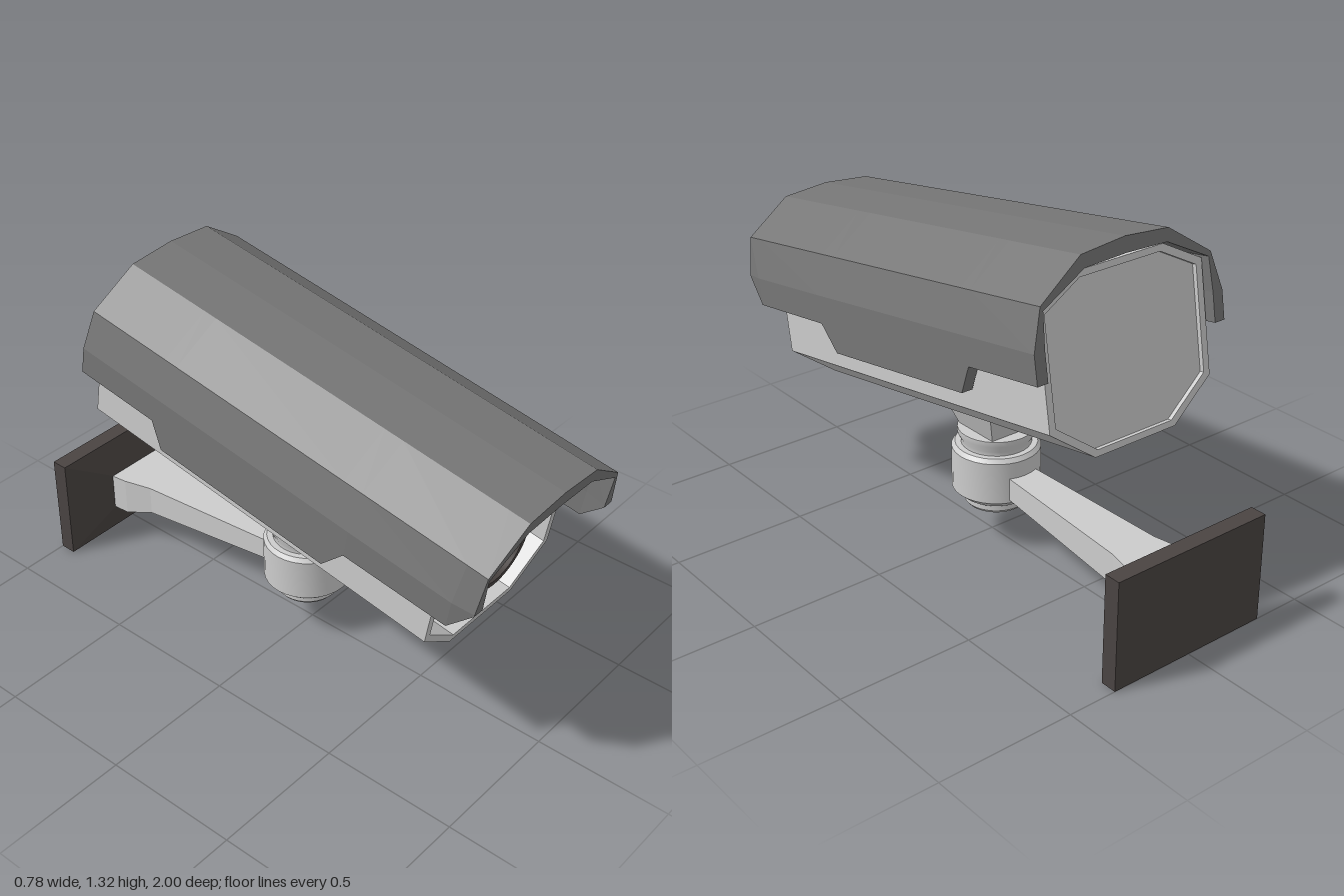
import * as THREE from 'three';
import { toCreasedNormals } from 'three/addons/utils/BufferGeometryUtils.js';

const material = (name, color) => {
  const m = new THREE.MeshStandardMaterial({ color });
  m.name = name;
  return m;
};

// Flat-faced loft through equal closed loops, ordered by rising z, anticlockwise seen from +z.
// Caps join point i to point n-1-i, so C-shaped sections work too.
function loft(sections) {
  const pos = [];
  const quad = (a, b, c, d) => pos.push(...a, ...b, ...c, ...a, ...c, ...d);
  const n = sections[0].length;
  for (let s = 0; s < sections.length - 1; s++) {
    const a = sections[s], b = sections[s + 1];
    for (let i = 0; i < n; i++) {
      const j = (i + 1) % n;
      quad(a[i], a[j], b[j], b[i]);
    }
  }
  const back = sections[0], front = sections[sections.length - 1];
  for (let i = 0; i < n / 2 - 1; i++) {
    quad(front[i], front[i + 1], front[n - 2 - i], front[n - 1 - i]);
    quad(back[n - 1 - i], back[n - 2 - i], back[i + 1], back[i]);
  }
  const g = new THREE.BufferGeometry();
  g.setAttribute('position', new THREE.Float32BufferAttribute(pos, 3));
  g.computeVertexNormals();
  return g;
}

// Rectangle of half width w between heights y0 and y1
const rect = (z, w, y0, y1) => [[-w, y0, z], [w, y0, z], [w, y1, z], [-w, y1, z]];

const turned = (points) => toCreasedNormals(
  new THREE.LatheGeometry(points.map(([r, y]) => new THREE.Vector2(r, y)), 32), 0.5);

// Half of an outline, mirrored to a full loop
const mirror = (half) => [...half, ...half.slice().reverse().map(([x, y]) => [-x, y])];

function extrude(outline, z0, z1, hole) {
  const points = (o) => o.map(([x, y]) => new THREE.Vector2(x, y));
  const shape = new THREE.Shape(points(outline));
  if (hole) shape.holes.push(new THREE.Path(points(hole)));
  return new THREE.ExtrudeGeometry(shape, { depth: z1 - z0, bevelEnabled: false }).translate(0, 0, z0);
}

// One C-shaped slice of the sunshield: b is the lower edge, w the half width
function hoodSection([z, b, w]) {
  const outer = [[w, b], [w, 0.137], [0.352, 0.274], [0.18, 0.39], [0, 0.405]];
  const inner = [[w - 0.042, b], [w - 0.042, 0.138], [0.342, 0.258], [0.17, 0.346], [0, 0.352]];
  const arch = (half) => [...half, ...half.slice(0, -1).reverse().map(([x, y]) => [-x, y])];
  return [...arch(outer), ...arch(inner).reverse()].map(([x, y]) => [x, y, z]);
}

export function createModel() {
  const shieldGrey = material('shield grey', 0x767676);
  const lightGrey = material('light grey', 0xcccccc);
  const darkBrown = material('dark brown', 0x4a4442);

  const model = new THREE.Group();
  model.name = 'securityCamera';
  const add = (parent, name, geometry, mat) => {
    const mesh = new THREE.Mesh(geometry, mat);
    mesh.name = name;
    parent.add(mesh);
    return mesh;
  };

  // Camera head, tilted nose down
  const head = new THREE.Group();
  head.name = 'head';
  head.position.y = 0.8;
  head.rotation.x = 0.1693;
  model.add(head);

  // Eight-sided casing with recessed ends
  const casing = mirror([[0.17, -0.266], [0.34, -0.14], [0.34, 0.25], [0.18, 0.335]]);
  const inset = casing.map(([x, y]) => [x * 0.925, 0.035 + (y - 0.035) * 0.925]);
  add(head, 'casing', extrude(casing, -0.686, 0.786, inset), lightGrey);
  add(head, 'endPanels', extrude(inset, -0.67, 0.7), lightGrey);

  // Sunshield with stepped lower edges
  add(head, 'sunshield', loft([
    [-0.717, 0.036, 0.392], [-0.382, 0.036, 0.392], [-0.33, -0.061, 0.392], [0.386, -0.061, 0.392],
    [0.461, 0.034, 0.392], [0.866, 0.036, 0.388], [0.945, 0.13, 0.376],
  ].map(hoodSection)), shieldGrey);

  // Window plate and lens
  add(head, 'windowPlate', new THREE.BoxGeometry(0.48, 0.338, 0.008), darkBrown).position.set(0, 0.026, 0.704);
  const lens = add(head, 'lens', turned([
    [0.16, 0.69], [0.16, 0.745], [0.14, 0.76], [0.135, 0.802], [0.115, 0.802], [0.105, 0.77], [0, 0.77],
  ]), darkBrown);
  lens.rotation.x = Math.PI / 2;
  lens.position.y = 0.03;

  // Tapered square neck under the casing
  const neck = add(model, 'neck', loft([
    rect(0, 0.085, -0.085, 0.085), rect(0.17, 0.15, -0.15, 0.15),
  ]), lightGrey);
  neck.rotation.x = -Math.PI / 2;
  neck.position.set(0, 0.41, -0.023);

  // Swivel joint
  add(model, 'swivel', turned([
    [0, 0.135], [0.105, 0.135], [0.115, 0.147], [0.115, 0.175], [0.13, 0.175], [0.158, 0.2], [0.158, 0.355],
    [0.146, 0.37], [0.125, 0.37], [0.125, 0.385], [0.137, 0.41], [0.137, 0.43], [0, 0.43],
  ]), lightGrey).position.z = -0.023;

  // Arm flaring towards the wall
  add(model, 'arm', loft([
    rect(-0.905, 0.12, 0.125, 0.269), rect(-0.84, 0.115, 0.125, 0.272),
    rect(-0.73, 0.09, 0.162, 0.276), rect(-0.1, 0.055, 0.217, 0.297),
  ]), lightGrey);

  // Wall plate with sloping front
  add(model, 'wallPlate', loft([
    rect(-1, 0.318, 0, 0.398), rect(-0.94, 0.318, 0, 0.398), rect(-0.902, 0.122, 0.123, 0.272),
  ]), darkBrown);

  return model;
}
